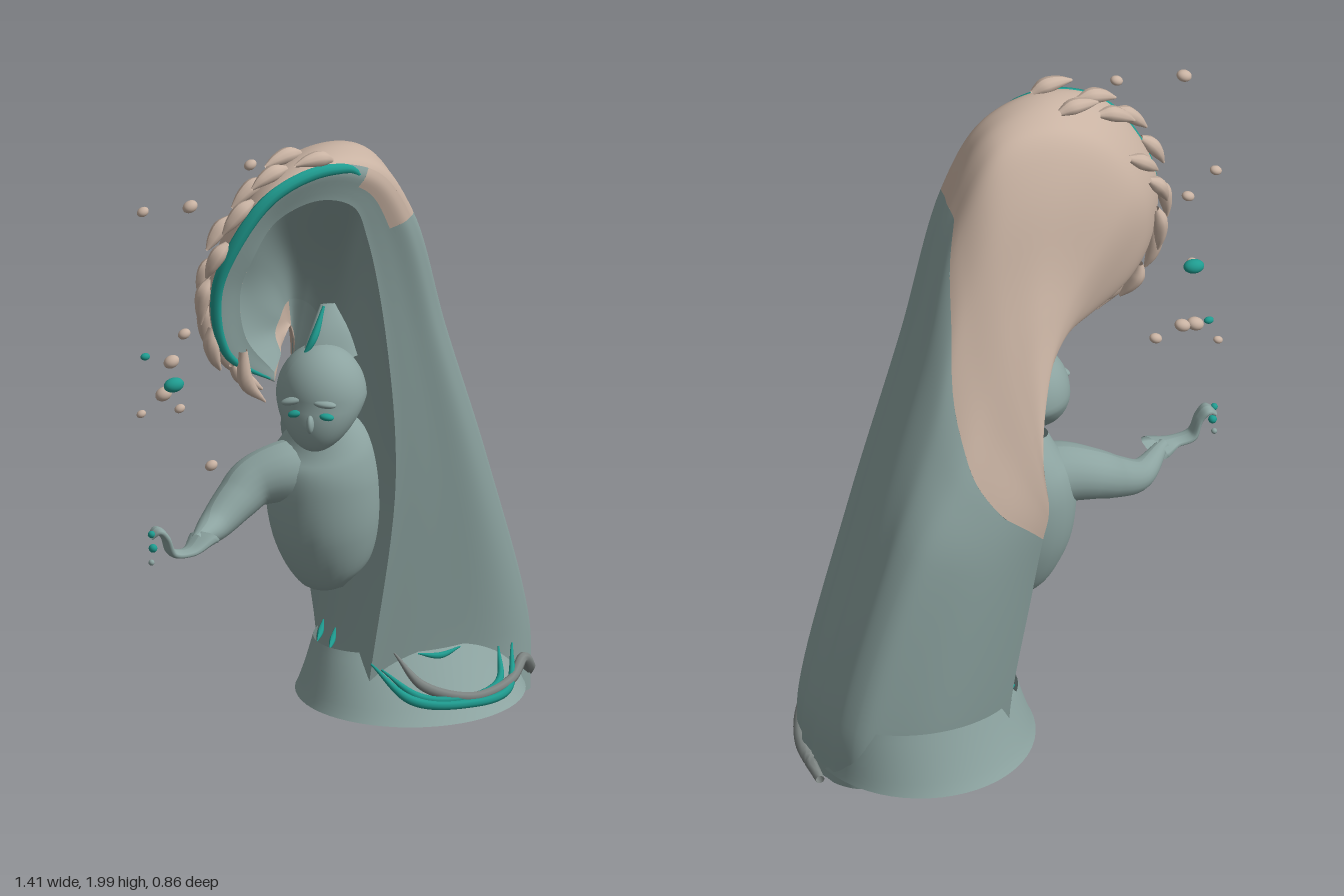
import * as THREE from 'three';

const mat = (name, color, side = THREE.FrontSide) => {
  const m = new THREE.MeshStandardMaterial({ color, side });
  m.name = name;
  return m;
};
const water = mat('greyWater', 0x8ca3a0, THREE.DoubleSide);
const foam = mat('creamFoam', 0xc8b2a2, THREE.DoubleSide);
const teal = mat('tealTrim', 0x1f9c90, THREE.DoubleSide);
const stone = mat('darkGrey', 0x7f8684, THREE.DoubleSide);

const V = (p) => new THREE.Vector3(...p);
const curve = (pts) => new THREE.CatmullRomCurve3(pts.map((p) => (p.isVector3 ? p : V(p))));

export function createModel() {
  const model = new THREE.Group();
  const add = (name, geometry, material, parent = model) => {
    const mesh = new THREE.Mesh(geometry, material);
    mesh.name = name;
    parent.add(mesh);
    return mesh;
  };

  // Surface sampled from f(u, v) over a rectangular range
  const grid = (f, u0, u1, v0, v1, nu, nv) => {
    const pos = [], idx = [];
    for (let i = 0; i <= nu; i++)
      for (let j = 0; j <= nv; j++) {
        pos.push(...f(u0 + ((u1 - u0) * i) / nu, v0 + ((v1 - v0) * j) / nv).toArray());
        if (i < nu && j < nv) {
          const a = i * (nv + 1) + j, b = a + nv + 1;
          idx.push(a, b, a + 1, b, b + 1, a + 1);
        }
      }
    const g = new THREE.BufferGeometry();
    g.setAttribute('position', new THREE.Float32BufferAttribute(pos, 3));
    g.setIndex(idx);
    g.computeVertexNormals();
    return g;
  };

  // Tapered limb; wide scales the section along z
  const limb = (pts, radii, wide = 1, n = 24, sides = 14) => {
    const c = curve(pts);
    const r = curve(radii.map((x, i) => [x, i, 0]));
    return grid((t, a) => {
      const d = c.getTangent(t);
      const side = new THREE.Vector3(-d.y, d.x, 0).normalize();
      const up = new THREE.Vector3().crossVectors(d, side).normalize();
      const k = Math.max(r.getPoint(t).x, 0.0005);
      return c.getPoint(t).addScaledVector(side, -Math.cos(a) * k).addScaledVector(up, Math.sin(a) * k * wide);
    }, 0, 1, 0, Math.PI * 2, n, sides);
  };
  const blob = (name, p, s, material, rot = [0, 0, 0], parent = model) => {
    const m = add(name, new THREE.SphereGeometry(1, 24, 16), material, parent);
    m.position.set(...p);
    m.scale.set(...s);
    m.rotation.set(...rot);
    return m;
  };

  // Rails of the wave, all running from the foot over the crest to the curl tip
  const rim = curve([[.655, .01, .02], [.655, .22, .02], [.47, .8, .12], [.275, 1.3, .23], [.115, 1.72, .335], [-.02, 1.9, .38],
    [-.2, 1.955, .4], [-.38, 1.9, .4], [-.5, 1.75, .375], [-.55, 1.58, .34], [-.49, 1.36, .3], [-.31, 1.24, .27]]);
  const shoulderRail = curve([[.67, .01, -.12], [.662, .22, -.13], [.475, .8, -.04], [.29, 1.3, .06], [.14, 1.72, .16], [0, 1.92, .19],
    [-.17, 1.94, .2], [-.33, 1.86, .2], [-.44, 1.7, .19], [-.48, 1.55, .2], [-.43, 1.36, .2], [-.27, 1.25, .2]]);
  const backRail = curve([[.59, .01, -.27], [.58, .22, -.28], [.39, .8, -.24], [.25, 1.02, -.19], [.14, 1.25, -.1], [.03, 1.4, -.05],
    [-.07, 1.46, -.02], [-.15, 1.46, .01], [-.2, 1.43, .03], [-.25, 1.38, .07], [-.28, 1.31, .12], [-.23, 1.27, .14]]);
  const hem = curve([[.1, .01, -.28], [.1, .2, -.285], [.03, .6, -.275], [-.01, .8, -.265], [-.03, .87, -.255], [-.035, .92, -.24],
    [-.03, 1, -.21], [-.04, 1.1, -.16], [-.06, 1.2, -.1], [-.1, 1.28, -.04], [-.16, 1.3, .05], [-.21, 1.28, .11]]);
  const hollow = curve([[.08, .01, -.1], [.1, .2, -.1], [.09, .65, -.1], [.08, 1.05, -.08], [.05, 1.3, -.02], [0, 1.42, .02],
    [-.08, 1.48, .05], [-.15, 1.48, .06], [-.2, 1.45, .09], [-.24, 1.4, .13], [-.27, 1.35, .16], [-.24, 1.28, .17]]);
  const lip = curve([[.1, .01, .04], [.11, .2, .075], [.135, .8, .185], [.06, 1.3, .28], [-.04, 1.68, .35], [-.1, 1.8, .375],
    [-.22, 1.84, .38], [-.35, 1.79, .365], [-.42, 1.68, .35], [-.45, 1.57, .325], [-.42, 1.41, .3], [-.31, 1.27, .27]]);
  const at = (rail, s) => rail.getPoint(s / 11);

  // Outer skin from the lip (v = 0) over the rim (v = 0.25) to the hem (v = 1), with soft grooves
  const outer = (s, v) => {
    const p = curve([at(lip, s), at(rim, s), at(shoulderRail, s), at(backRail, s), at(hem, s)]).getPoint(v);
    const g = 0.005 * Math.sin(v * 48) * Math.sin(Math.PI * v) * Math.max(0, 1 - s / 8);
    p.x += g;
    p.z += g;
    return p;
  };
  const inner = (s, v) => curve([at(hem, s), at(hollow, s), at(lip, s)]).getPoint(v);
  // Where the foam begins: level in front, sweeping down behind
  const foamLine = (v) => 4 - Math.min(1, Math.max(0, (v - 0.5) / 0.4));
  const waterSkin = (u, v) => outer(u * foamLine(v), v);
  const foamSkin = (u, v) => outer(THREE.MathUtils.lerp(foamLine(v), 11, u), v);

  const wave = new THREE.Group();
  wave.name = 'wave';
  model.add(wave);
  add('waveSkin', grid(waterSkin, 0, 1, 0, 1, 44, 80), water, wave);
  add('foamHood', grid(foamSkin, 0, 1, 0.25, 1, 72, 40), foam, wave);
  add('crestFoam', grid(outer, 4, 5.2, 0.11, 0.25, 14, 8), foam, wave);
  add('crestInner', grid(outer, 4, 5.2, 0, 0.11, 14, 6), water, wave);
  add('curlRim', grid(outer, 5.2, 11, 0, 0.25, 60, 10), water, wave);
  add('waveInside', grid(inner, 0, 11, 0.36, 1, 96, 24), water, wave);
  add('hemInsideLower', grid(inner, 0, 7.5, 0, 0.36, 66, 8), water, wave);
  add('hemInsideFoam', grid(inner, 7.5, 11, 0, 0.36, 30, 8), foam, wave);
  for (const s of [0, 11])
    add('waveEnd', grid((u, v) => outer(s, v).lerp(inner(s, 1 - v), u), 0, 1, 0, 1, 2, 32), s ? foam : water, wave);

  // Teal edge along the curl
  const edge = [];
  for (let s = 4.9; s <= 11; s += 0.3) edge.push(at(rim, s).lerp(at(lip, s), s < 5.2 ? 0.5 : s < 5.5 ? 0.3 : 0.13));
  add('curlTrim', limb(edge, [.004, .018, .02, .02, .018, .014, .004], 1, 80, 10), teal, wave);

  // Hooked foam claws in two staggered rows around the curl
  const centre = new THREE.Vector3(-.2, 1.58, .3);
  for (let i = 0; i < 13; i++) {
    const s = 5.9 + i * 0.36;
    const pts = [0, 0.2, 0.42, 0.62].map((d, k) => {
      const p = outer(Math.min(s + d, 11), 0.29 + 0.1 * (i % 2) + 0.03 * (i % 3) - 0.012 * k);
      const out = p.clone().sub(centre).setZ(0).normalize();
      return p.addScaledVector(out, [0, 0.016, 0.026, 0.034][k]);
    });
    add('foamClaw', limb(pts, [.01, .023, .018, .004], 1.15, 16, 10), foam, wave);
  }
  add('foamClawTip', limb([[-.43, 1.37, .3], [-.42, 1.27, .3], [-.35, 1.19, .29]], [.014, .024, .003], 1, 12, 10), foam, wave);

  // Flared foot
  add('footSkirt', grid((t, a) => new THREE.Vector3(
    .32 + .015 * t + Math.cos(a) * (.345 - .045 * t),
    .04 + .175 * Math.pow(t, 1.15),
    -.09 - .045 * t + Math.sin(a) * (.345 - .135 * t)), 0, 1, 0, Math.PI * 2, 8, 56), water);
  const disc = add('footDisc', new THREE.CircleGeometry(.345, 56), water);
  disc.rotation.x = Math.PI / 2;
  disc.position.set(.32, .04, -.09);

  // Ripples around the foot
  add('ripple', limb([[.1, .21, .09], [.19, .11, .18], [.35, .085, .22], [.5, .1, .2], [.57, .2, .09]], [.003, .014, .014, .014, .003], 1, 40, 8), teal);
  add('rippleUpper', limb([[.13, .19, .1], [.22, .115, .18], [.35, .1, .21], [.48, .12, .18], [.52, .2, .1]], [.003, .012, .01, .012, .003], 1, 40, 8), teal);
  add('rippleCrescent', limb([[.26, .215, .085], [.33, .2, .09], [.4, .215, .085]], [.002, .01, .002], 1, 16, 8), teal);
  add('rippleOuter', limb([[.18, .23, .085], [.24, .14, .16], [.38, .1, .21], [.52, .12, .18], [.6, .15, .1], [.66, .09, .02], [.68, .05, -.06], [.68, .04, -.24]],
    [.003, .015, .015, .015, .017, .02, .022, .014], 1, 60, 8), stone);
  for (const z of [-.2, -.12])
    add('rippleTick', limb([[.095, .25, z - .02], [.075, .22, z], [.05, .205, z + .03]], [.002, .009, .002], 1, 10, 8), teal);

  // Figure leaning out of the wave
  const figure = new THREE.Group();
  figure.name = 'figure';
  model.add(figure);
  add('torso', limb([[.05, .435, 0], [.02, .5, 0], [-.005, .64, 0], [-.015, .8, 0], [-.015, .9, .01], [-.03, .99, .03]],
    [.001, .11, .165, .175, .15, .085], .9, 32, 28), water, figure);
  add('arm', limb([[-.03, .82, .01], [-.14, .835, .0], [-.24, .815, -.01], [-.31, .775, .01], [-.41, .725, .06], [-.52, .735, .17]],
    [.11, .095, .078, .066, .048, .018], 1, 32, 20), water, figure);
  add('hand', limb([[-.49, .735, .16], [-.56, .715, .2], [-.62, .725, .205], [-.645, .78, .21], [-.67, .805, .21], [-.695, .785, .21]],
    [.022, .012, .012, .011, .011, .006], 2.6, 36, 12), water, figure);

  // Head narrows to a chin that points ahead of the skull
  const skull = new THREE.SphereGeometry(1, 40, 28);
  const sp = skull.attributes.position;
  for (let i = 0; i < sp.count; i++) {
    const low = Math.max(0, -sp.getY(i));
    const k = 1 - 0.22 * low;
    sp.setXYZ(i, sp.getX(i) * .135 * k - .05 * low, sp.getY(i) * .155, sp.getZ(i) * .14 * k + .055 * low);
  }
  skull.computeVertexNormals();
  add('head', skull, water, figure).position.set(-.06, 1.098, .08);
  blob('nose', [-.155, 1.052, .195], [.012, .028, .022], water, [0, -.6, 0], figure);
  for (const [x, z, tilt] of [[-.182, .148, .25], [-.11, .218, -.1]]) {
    blob('eye', [x, 1.076, z], [.022, .011, .014], teal, [0, -.6, tilt], figure);
    blob('brow', [x, 1.112, z - .016], [.036, .012, .018], water, [0, -.6, tilt], figure);
  }

  // Pointed crest with a teal front edge
  add('headCrest', limb([[-.025, 1.2, .06], [-.02, 1.28, .05], [-.015, 1.36, .03]], [.095, .065, .024], .4, 14, 16), water, figure);
  add('crestTrim', limb([[-.12, 1.225, .08], [-.085, 1.28, .08], [-.035, 1.36, .045]], [.004, .012, .004], 1, 14, 8), teal, figure);

  // Loose spray drops
  const drops = [[-.43, 1.98, .35, .02], [-.66, 1.905, .41, .024], [-.66, 1.78, .09, .019], [-.66, 1.485, .37, .02], [-.54, 1.265, .04, .025],
    [-.605, 1.2, .12, .027], [-.67, 1.245, .36, .017], [-.67, 1.14, .1, .015], [-.54, 1.025, .31, .02]];
  for (const [x, y, z, r] of drops) blob('sprayDrop', [x, y, z], [r, r * .75, r * .8], foam, [0, 0, .4]);
  blob('tealDrop', [-.65, 1.29, .28], [.032, .022, .022], teal, [0, 0, .1]);
  blob('tealDropSmall', [-.615, 1.285, .015], [.015, .011, .011], teal);
  for (const [x, y, r, m] of [[-.69, .755, .013, teal], [-.695, .8, .011, teal], [-.695, .71, .009, water]])
    blob('handDrop', [x, y, .22], [r, r, r], m);
  return model;
}
